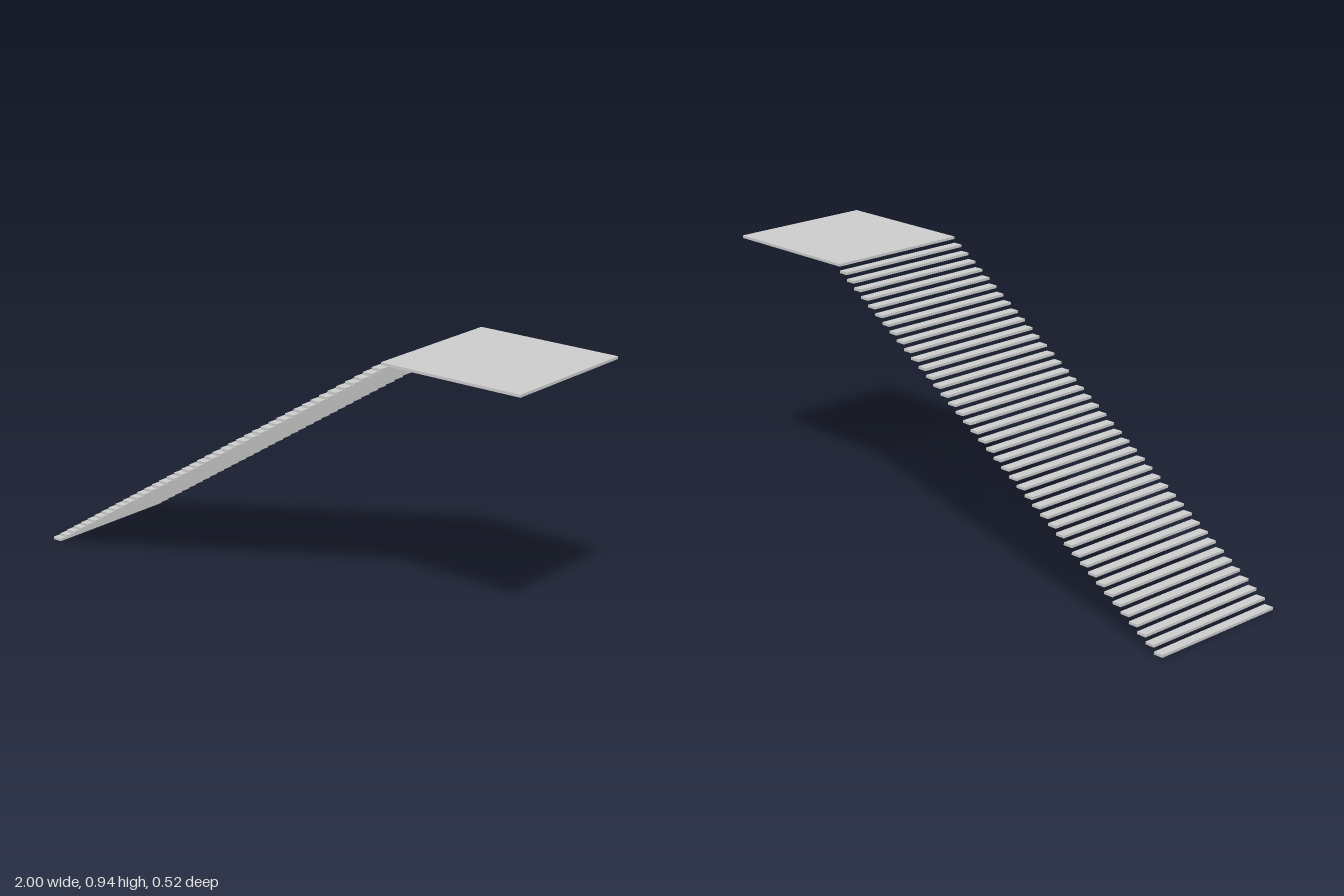
import * as THREE from 'three';

export function createModel() {
  const group = new THREE.Group();
  const material = new THREE.MeshStandardMaterial({ color: 0xcccccc, flatShading: true });

  const treadCount = 42;
  const thickness = 0.009;
  const width = 0.521;
  const landingLength = 0.521;
  const run = (2 - landingLength) / treadCount;
  const rise = (0.941 - thickness) / treadCount;

  function addSlab(name, length, startX, bottomY) {
    const slab = new THREE.Mesh(new THREE.BoxGeometry(length, thickness, width), material);
    slab.name = name;
    slab.position.set(startX + length / 2, bottomY + thickness / 2, 0);
    group.add(slab);
  }

  // Floating treads, climbing towards +x
  for (let i = 0; i < treadCount; i++) {
    addSlab(`tread${i + 1}`, run, -1 + i * run, i * rise);
  }

  // Square landing at the top
  addSlab('landing', landingLength, 1 - landingLength, treadCount * rise);

  return group;
}
